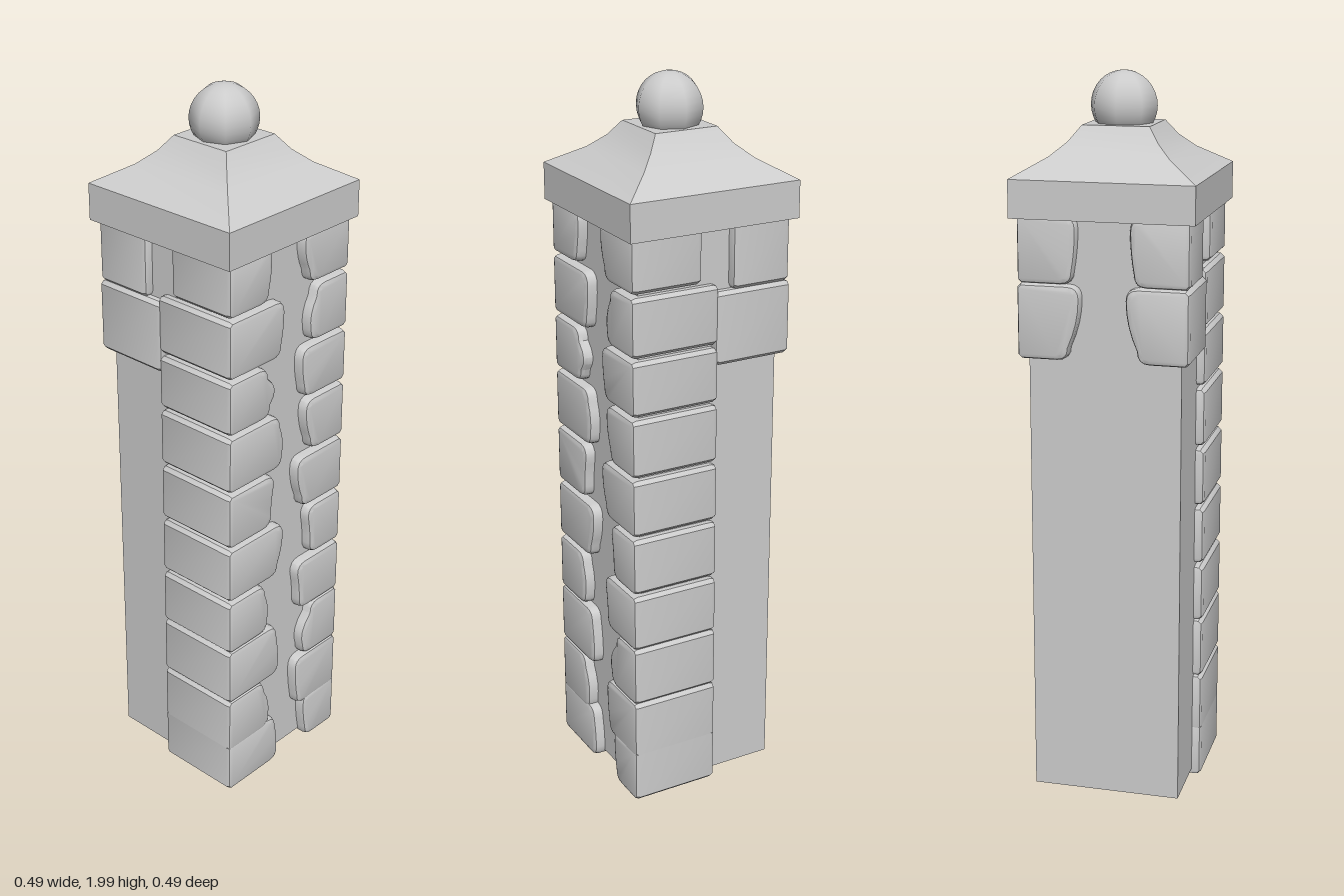
import * as THREE from 'three';
import { toCreasedNormals } from 'three/addons/utils/BufferGeometryUtils.js';

const grey = new THREE.MeshStandardMaterial({ color: 0xcccccc });
const FACE_Z = 0.23, BEVEL = 0.014;

// Corner stone: outline in the side plane with a worn inner edge, extruded along x.
// side is +1 for the front corner, -1 for the back; top, mid, low are the inner edge's z distances.
function stone(side, x0, x1, y0, y1, top, mid, low) {
  const s = new THREE.Shape();
  const u = (z) => -side * z;
  const h = y1 - y0, r = 0.035, ym = y0 + h * 0.5;
  s.moveTo(u(FACE_Z), y0 + 0.01);
  s.lineTo(u(FACE_Z), y1 - 0.01);
  s.lineTo(u(FACE_Z - 0.01), y1);
  s.lineTo(u(top + r), y1);
  s.quadraticCurveTo(u(top), y1, u(top), y1 - r);
  s.quadraticCurveTo(u(mid), ym, u(low), y0 + r);
  s.quadraticCurveTo(u(low), y0, u(low + r), y0);
  s.lineTo(u(FACE_Z - 0.01), y0);
  s.closePath();
  const g = new THREE.ExtrudeGeometry(s, {
    depth: x1 - x0 - 2 * BEVEL, curveSegments: 4,
    bevelEnabled: true, bevelSize: BEVEL, bevelThickness: BEVEL, bevelOffset: -BEVEL, bevelSegments: 2
  });
  g.translate(0, 0, x0 + BEVEL);
  g.rotateY(Math.PI / 2);
  return new THREE.Mesh(toCreasedNormals(g, 0.6), grey);
}

export function createModel() {
  const model = new THREE.Group();
  const add = (name, geometry) => {
    const m = new THREE.Mesh(geometry, grey);
    m.name = name;
    model.add(m);
    return m;
  };

  // Plain square shaft
  add('shaft', new THREE.BoxGeometry(0.41, 1.62, 0.41)).position.y = 0.84;

  // Four-sided cap with a flared roof
  const profile = [[0, 1.64], [0.245, 1.64], [0.245, 1.74], [0.16, 1.79], [0.12, 1.825], [0.09, 1.865], [0, 1.865]]
    .map(([r, y]) => new THREE.Vector2(r * Math.SQRT2, y));
  add('cap', toCreasedNormals(new THREE.LatheGeometry(profile, 4, Math.PI / 4), 0.5));

  // Ball finial
  add('finial', new THREE.SphereGeometry(0.09, 8, 16)).position.y = 1.91;

  // Course heights shared by the two full columns, top to bottom
  const courses = [[1.5, 1.65], [1.33, 1.49], [1.17, 1.32], [1, 1.16], [0.83, 0.99],
    [0.66, 0.82], [0.49, 0.65], [0.32, 0.49], [0.15, 0.32], [0.01, 0.17]];
  // Inner edge of each stone: top, middle, bottom
  const edges = {
    front: [[0.07, 0.07, 0.08], [0.02, 0.02, 0.03], [0.08, 0.03, 0.07], [0.03, 0.01, 0.02], [0.05, 0.06, 0.06],
      [0.01, 0.01, 0.03], [0.08, 0.06, 0.07], [0.03, 0.02, 0.02], [0.08, 0.05, 0.06], [0.03, 0.02, 0.02]],
    back: [[0.05, 0.05, 0.07], [0.1, 0.07, 0.08], [0.05, 0.05, 0.06], [0.07, 0.07, 0.09], [0.04, 0.04, 0.06],
      [0.09, 0.1, 0.1], [0.05, 0.06, 0.06], [0.11, 0.06, 0.08], [0.05, 0.05, 0.06], [0.09, 0.09, 0.1]]
  };

  for (const [name, side] of [['front', 1], ['back', -1]]) {
    // Full-height column on the +x corner
    const column = new THREE.Group();
    column.name = name + 'LeftCornerStones';
    courses.forEach(([y0, y1], i) => {
      column.add(stone(side, i === 0 ? 0.03 : -0.02, 0.235, y0, y1, ...edges[name][i]));
    });
    // Two stones under the cap on the -x corner
    const upper = new THREE.Group();
    upper.name = name + 'RightCornerStones';
    upper.add(
      stone(side, -0.23, -0.06, 1.47, 1.65, 0.07, 0.07, 0.08),
      stone(side, -0.235, -0.01, 1.27, 1.47, 0.06, 0.06, 0.09)
    );
    for (const group of [column, upper]) {
      group.children.forEach((m, i) => { m.name = 'stone' + (i + 1); });
      model.add(group);
    }
  }
  return model;
}
